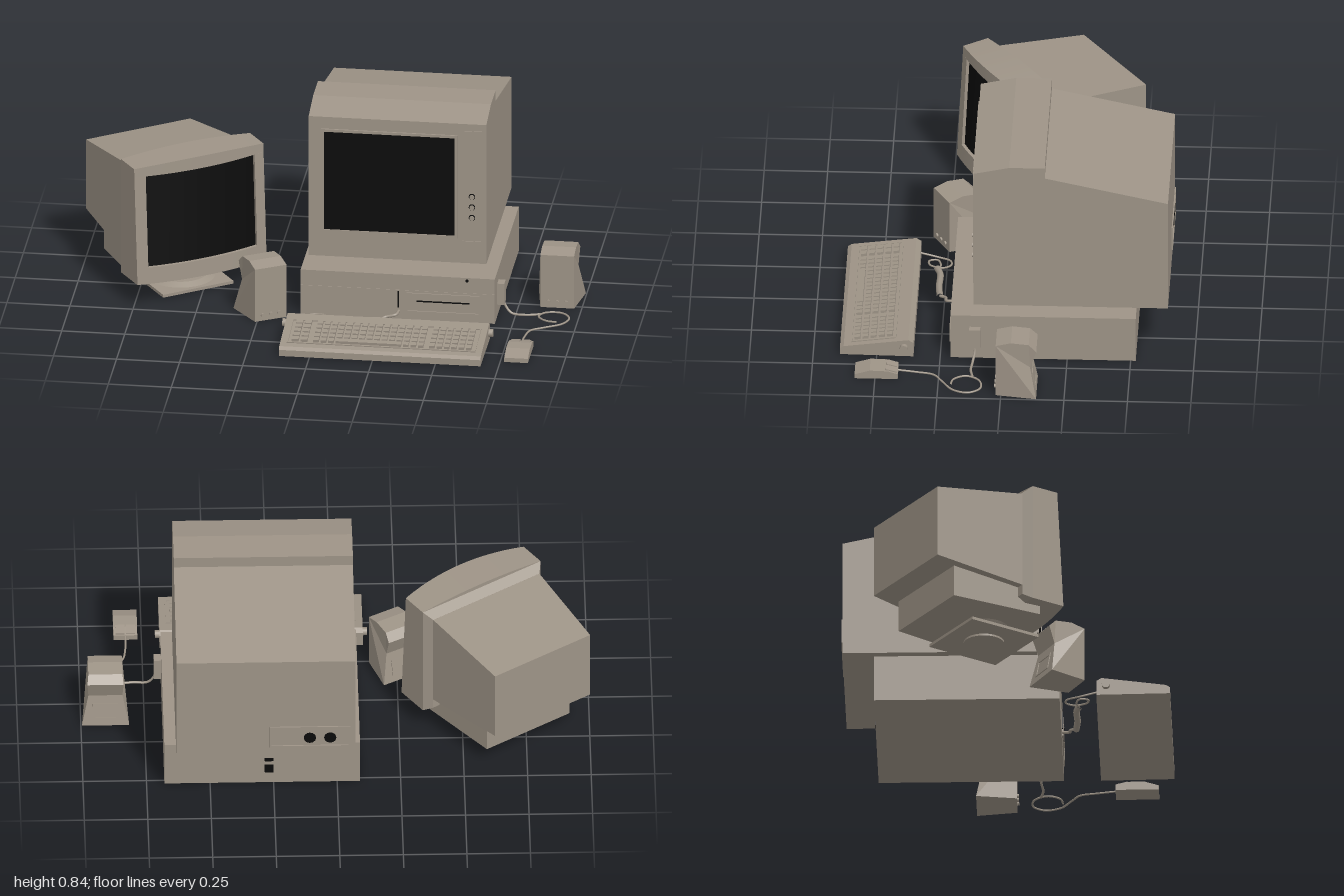
import * as THREE from 'three';
import { mergeGeometries } from 'three/addons/utils/BufferGeometryUtils.js';

const beige = new THREE.MeshStandardMaterial({ color: 0x9e9487 });
beige.name = 'beige plastic';
const black = new THREE.MeshStandardMaterial({ color: 0x0b0b0b });
black.name = 'black glass';

function add(parent, name, geo, mat = beige) {
  const m = new THREE.Mesh(geo, mat);
  m.name = name;
  parent.add(m);
  return m;
}

// Box given by its limits
function block(x0, x1, y0, y1, z0, z1) {
  return new THREE.BoxGeometry(x1 - x0, y1 - y0, z1 - z0)
    .translate((x0 + x1) / 2, (y0 + y1) / 2, (z0 + z1) / 2);
}

// Side profile of [z, y] points extruded along x
function slab(pts, x0, x1) {
  const shape = new THREE.Shape(pts.map(([z, y]) => new THREE.Vector2(-z, y)));
  return new THREE.ExtrudeGeometry(shape, { depth: x1 - x0, bevelEnabled: false })
    .rotateY(Math.PI / 2).translate(x0, 0, 0);
}

// Move every vertex by a rule
function warp(geo, rule) {
  const p = geo.attributes.position, v = new THREE.Vector3();
  for (let i = 0; i < p.count; i++) {
    v.fromBufferAttribute(p, i);
    rule(v);
    p.setXYZ(i, v.x, v.y, v.z);
  }
  geo.computeVertexNormals();
  return geo;
}

// Tapered block between a back and a front rectangle [halfWidth, y0, y1]
function frustum(zb, back, zf, front) {
  return warp(new THREE.BoxGeometry(2, 1, 1), v => {
    const r = v.z > 0 ? front : back;
    v.set(v.x * r[0], v.y > 0 ? r[2] : r[1], v.z > 0 ? zf : zb);
  });
}

// Thin rectangular outline facing z
function outline(x0, x1, y0, y1, z0, z1, t) {
  return mergeGeometries([
    block(x0, x1, y0, y0 + t, z0, z1), block(x0, x1, y1 - t, y1, z0, z1),
    block(x0, x0 + t, y0 + t, y1 - t, z0, z1), block(x1 - t, x1, y0 + t, y1 - t, z0, z1),
  ]);
}

function knob(x, y, z, r, d) {
  return new THREE.CylinderGeometry(r, r, d, 12).rotateX(Math.PI / 2).translate(x, y, z);
}

function cable(parent, name, pts, r) {
  const curve = new THREE.CatmullRomCurve3(pts.map(p => new THREE.Vector3(...p)));
  add(parent, name, new THREE.TubeGeometry(curve, pts.length * 8, r, 8));
}

function largeMonitor() {
  const g = new THREE.Group();
  g.name = 'largeMonitor';
  add(g, 'cabinet', slab([[0.12, 0.215], [0.12, 0.81], [-0.02, 0.84], [-0.16, 0.84],
    [-0.16, 0.795], [-0.645, 0.69], [-0.645, 0.215]], -0.07, 0.635));
  add(g, 'screen', block(-0.01, 0.51, 0.33, 0.75, 0.115, 0.123), black);
  add(g, 'screenFrame', outline(-0.02, 0.52, 0.32, 0.76, 0.115, 0.127, 0.011));
  // Control strip and knobs
  add(g, 'controlTrim', mergeGeometries([block(0.54, 0.62, 0.775, 0.781, 0.118, 0.124),
    block(0.614, 0.62, 0.31, 0.775, 0.118, 0.124), block(0.54, 0.62, 0.304, 0.31, 0.118, 0.124)]));
  for (const y of [0.41, 0.455, 0.5]) {
    add(g, 'knobRing', knob(0.578, y, 0.121, 0.013, 0.004), black);
    add(g, 'knob', knob(0.578, y, 0.124, 0.01, 0.008));
  }
  // Rear sockets
  add(g, 'socketPanel', outline(-0.05, 0.27, 0.27, 0.37, -0.65, -0.643, 0.008));
  for (const x of [0.03, 0.11]) add(g, 'socket', knob(x, 0.315, -0.646, 0.024, 0.006), black);
  add(g, 'stand', slab([[0.06, 0.185], [0.06, 0.22], [-0.52, 0.22], [-0.5, 0.212], [-0.42, 0.185]], -0.02, 0.585));
  return g;
}

function computerCase() {
  const g = new THREE.Group();
  g.name = 'computerCase';
  add(g, 'case', block(-0.09, 0.68, 0, 0.19, -0.52, 0.21));
  add(g, 'driveBay', outline(0.33, 0.62, 0.035, 0.115, 0.208, 0.215, 0.004));
  add(g, 'driveSlot', block(0.37, 0.58, 0.078, 0.083, 0.208, 0.213), black);
  add(g, 'latch', block(0.295, 0.301, 0.05, 0.12, 0.208, 0.215), black);
  add(g, 'frontSeam', block(-0.09, 0.68, 0.122, 0.125, 0.208, 0.212));
  add(g, 'powerLight', knob(0.57, 0.178, 0.211, 0.006, 0.004), black);
  for (const y of [0.07, 0.125])
    add(g, 'rearSocket', block(0.25, 0.285, y - 0.018, y + 0.018, -0.525, -0.518), black);
  add(g, 'mousePlug', block(0.68, 0.708, 0.05, 0.14, 0.09, 0.135));
  return g;
}

function keyboard() {
  const g = new THREE.Group();
  g.name = 'keyboard';
  add(g, 'keyboardBody', slab([[0.645, 0.004], [0.645, 0.03], [0.63, 0.04], [0.6, 0.044],
    [0.375, 0.073], [0.355, 0.06], [0.355, 0]], -0.12, 0.68));
  const slope = 0.128, tilt = Math.atan(slope);
  const place = (w, d, h, x, z) => new THREE.BoxGeometry(w, h, d).rotateX(tilt)
    .translate(x, 0.044 + (0.6 - z) * slope + h / 2 - 0.002, z);
  // Rim round the keys
  add(g, 'keyRim', mergeGeometries([place(0.75, 0.005, 0.006, 0.28, 0.427), place(0.75, 0.005, 0.006, 0.28, 0.6),
    place(0.005, 0.17, 0.006, -0.092, 0.513), place(0.005, 0.17, 0.006, 0.652, 0.513)]));
  // Key blocks: first x, last x, columns
  const keys = [];
  for (const [x0, x1, n] of [[-0.08, -0.01, 2], [0.005, 0.45, 15], [0.465, 0.64, 6]]) {
    const pitch = (x1 - x0) / n;
    for (let r = 0; r < 5; r++) {
      const z = 0.45 + r * 0.032;
      for (let c = 0; c < n; c++) {
        if (n === 15 && r === 4 && c > 2 && c < 12) continue;
        keys.push(place(pitch - 0.008, 0.023, 0.013, x0 + (c + 0.5) * pitch, z));
      }
      if (n === 15 && r === 4) keys.push(place(pitch * 9 - 0.008, 0.023, 0.013, x0 + 7.5 * pitch, z));
    }
  }
  add(g, 'keys', mergeGeometries(keys));
  // Tilt knobs on both ends
  for (const x of [-0.125, 0.685])
    add(g, 'tiltKnob', new THREE.CylinderGeometry(0.016, 0.016, 0.025, 14).rotateZ(Math.PI / 2).translate(x, 0.04, 0.393));
  cable(g, 'keyboardCable', [[-0.08, 0.03, 0.36], [-0.083, 0.01, 0.29], [-0.06, 0.008, 0.24], [-0.01, 0.015, 0.235],
    [0.02, 0.02, 0.27], [0, 0.02, 0.315], [-0.05, 0.012, 0.32], [-0.06, 0.01, 0.29], [-0.02, 0.012, 0.275], [0.03, 0.016, 0.285]], 0.004);
  cable(g, 'coiledCable', [[0.015, 0.016, 0.288], [0.06, 0.016, 0.274], [0.16, 0.016, 0.275], [0.235, 0.016, 0.268]], 0.013);
  cable(g, 'cableEnd', [[0.23, 0.016, 0.268], [0.25, 0.02, 0.245], [0.29, 0.03, 0.24], [0.3, 0.035, 0.205]], 0.006);
  return g;
}

function mouse() {
  const g = new THREE.Group();
  g.name = 'mouse';
  add(g, 'mouseBody', slab([[0.58, 0], [0.58, 0.018], [0.52, 0.036], [0.45, 0.034], [0.41, 0.022], [0.41, 0]], 0.766, 0.86));
  for (const x of [0.792, 0.834])
    add(g, 'mouseButton', block(x - 0.018, x + 0.018, -0.002, 0.003, -0.022, 0.022).rotateX(-0.25).translate(0, 0.031, 0.436));
  cable(g, 'mouseCable', [[0.813, 0.015, 0.415], [0.815, 0.008, 0.34], [0.83, 0.006, 0.27], [0.88, 0.006, 0.235], [0.945, 0.006, 0.19],
    [0.965, 0.006, 0.13], [0.93, 0.006, 0.083], [0.87, 0.008, 0.09], [0.845, 0.012, 0.14], [0.88, 0.016, 0.19], [0.925, 0.016, 0.2]], 0.004);
  cable(g, 'plugCable', [[0.85, 0.01, 0.115], [0.79, 0.008, 0.125], [0.735, 0.012, 0.12], [0.71, 0.04, 0.113], [0.7, 0.07, 0.112]], 0.005);
  return g;
}

function speaker(x, z, turn) {
  const g = new THREE.Group();
  g.name = 'speaker';
  // Waisted back, flaring towards the foot
  add(g, 'speakerBody', warp(slab([[0.08, 0], [0.08, 0.223], [0.02, 0.237], [-0.05, 0.23],
    [-0.08, 0.2], [-0.055, 0.13], [-0.08, 0]], -0.067, 0.067), v => {
    if (v.z < -0.07) v.x *= v.y < 0.1 ? 1.39 : 1.06;
  }));
  add(g, 'rearPanel', outline(-0.05, 0.05, -0.035, 0.035, -0.003, 0.003, 0.008)
    .rotateX(0.19).translate(0, 0.06, -0.069));
  for (const kx of [-0.035, 0, 0.035]) add(g, 'speakerKnob', knob(kx, 0.025, 0.082, 0.008, 0.01));
  g.position.set(x, 0, z);
  g.rotation.y = turn;
  return g;
}

function smallMonitor() {
  const g = new THREE.Group();
  g.name = 'smallMonitor';
  // Curved front: bars bent to a shallow arc with a crowned top
  const arc = x => 1 - (x / 0.285) ** 2;
  const bar = (x0, x1, y0, y1, inset = 0) => warp(
    new THREE.BoxGeometry(x1 - x0, y1 - y0, 1, 14, 1, 1).translate((x0 + x1) / 2, (y0 + y1) / 2, 0), v => {
      v.z = v.z > 0 ? 0.278 - 0.06 * (v.y - 0.1) + 0.035 * arc(v.x) - inset : 0.134;
      if (v.y > 0.58) v.y += 0.016 * arc(v.x);
    });
  add(g, 'bezelTop', bar(-0.285, 0.285, 0.55, 0.585));
  add(g, 'bezelBottom', bar(-0.285, 0.285, 0.1, 0.168));
  for (const s of [-1, 1])
    add(g, 'bezelSide', bar(Math.min(s * 0.24, s * 0.285), Math.max(s * 0.24, s * 0.285), 0.168, 0.55));
  add(g, 'screen', bar(-0.24, 0.24, 0.168, 0.55, 0.014), black);
  // Tapered housing behind the bezel
  add(g, 'bezelShoulder', frustum(0.103, [0.257, 0.12, 0.555], 0.134, [0.285, 0.1, 0.585]));
  add(g, 'housing', frustum(-0.277, [0.23, 0.205, 0.5], 0.105, [0.257, 0.16, 0.555]));
  add(g, 'lowerHousing', frustum(-0.18, [0.2, 0.065, 0.23], 0.2, [0.235, 0.065, 0.2]));
  // Swivel foot
  add(g, 'swivel', new THREE.CylinderGeometry(0.1, 0.075, 0.035, 32).translate(0, 0.05, 0.09));
  add(g, 'swivelDisc', new THREE.CylinderGeometry(0.11, 0.14, 0.015, 32).translate(0, 0.026, 0.09));
  add(g, 'footPlate', block(-0.155, 0.155, 0.008, 0.02, -0.065, 0.245));
  add(g, 'footRing', new THREE.CylinderGeometry(0.08, 0.08, 0.012, 32).translate(0, 0.006, 0.09));
  g.position.set(-0.655, 0, -0.15);
  g.rotation.y = 0.6;
  return g;
}

export function createModel() {
  const model = new THREE.Group();
  model.name = 'desktopComputerSet';
  model.add(largeMonitor(), computerCase(), keyboard(), mouse(), smallMonitor(),
    speaker(0.903, -0.06, 0), speaker(-0.239, 0.21, 0.52));
  return model;
}
